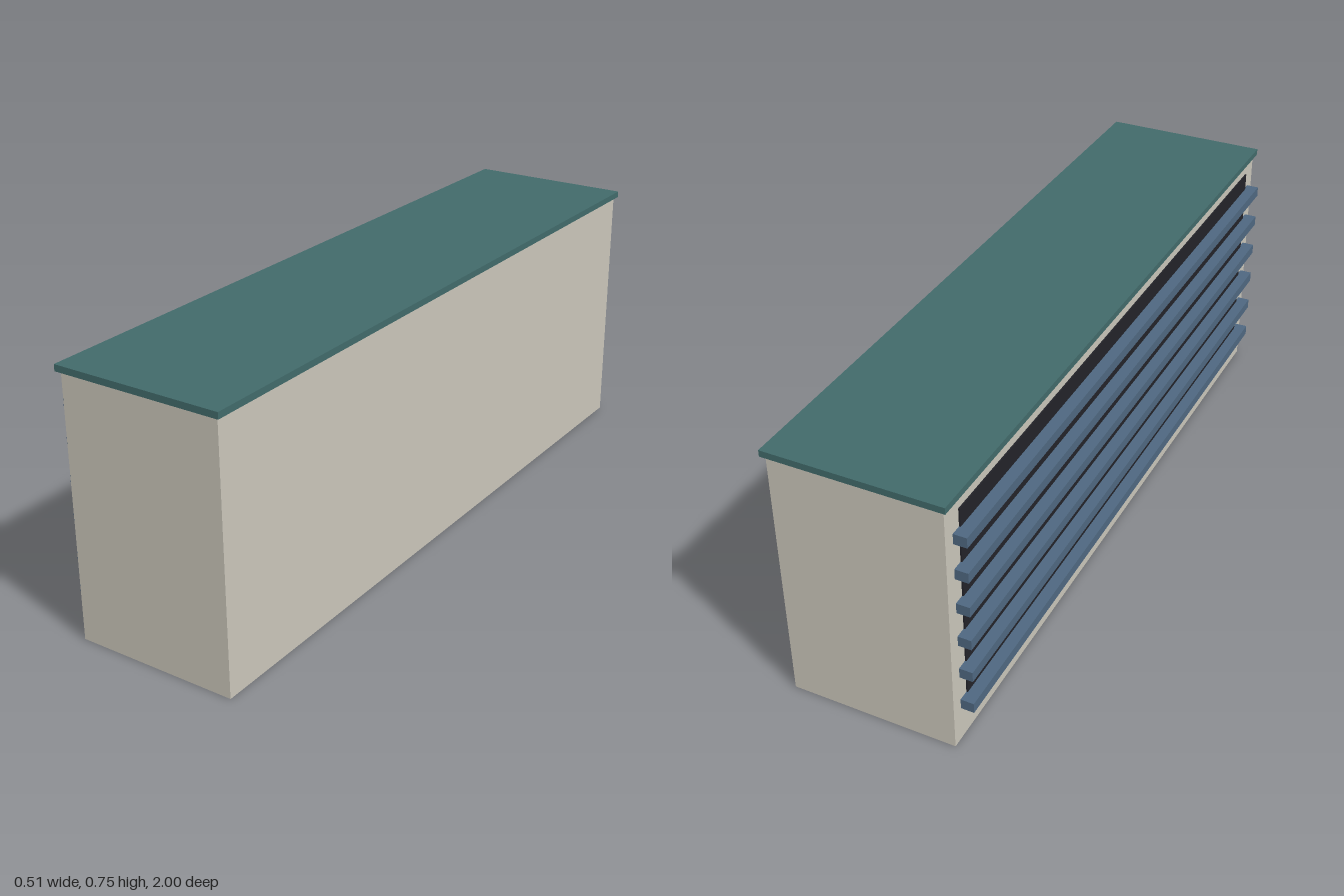
import * as THREE from 'three';

const material = (name, color) => {
  const m = new THREE.MeshStandardMaterial({ color });
  m.name = name;
  return m;
};

// Box given by its minimum and maximum corners
function box(name, mat, [x0, y0, z0], [x1, y1, z1]) {
  const mesh = new THREE.Mesh(new THREE.BoxGeometry(x1 - x0, y1 - y0, z1 - z0), mat);
  mesh.position.set((x0 + x1) / 2, (y0 + y1) / 2, (z0 + z1) / 2);
  mesh.name = name;
  return mesh;
}

export function createModel() {
  const wall = material('warm grey wall', 0xc9c5b9);
  const roof = material('teal roof', 0x416a6a);
  const slat = material('slate blue slat', 0x4e6780);
  const dark = material('dark opening', 0x222228);

  const model = new THREE.Group();
  model.name = 'slattedBuilding';

  // Main block and overhanging roof slab
  model.add(box('body', wall, [-0.219, 0, -0.99], [0.243, 0.728, 0.99]));
  model.add(box('roof', roof, [-0.229, 0.728, -1], [0.253, 0.746, 1]));

  // Six projecting slats, each with a dark strip above it
  for (let i = 0; i < 6; i++) {
    const y = 0.099 + i * 0.1022;
    const row = new THREE.Group();
    row.name = `facadeRow${i + 1}`;
    row.add(box('slat', slat, [-0.255, y, -0.956], [-0.219, y + 0.029, 0.956]));
    row.add(box('darkStrip', dark, [-0.223, y + 0.029, -0.927], [-0.219, y + 0.08, 0.927]));
    model.add(row);
  }
  return model;
}
